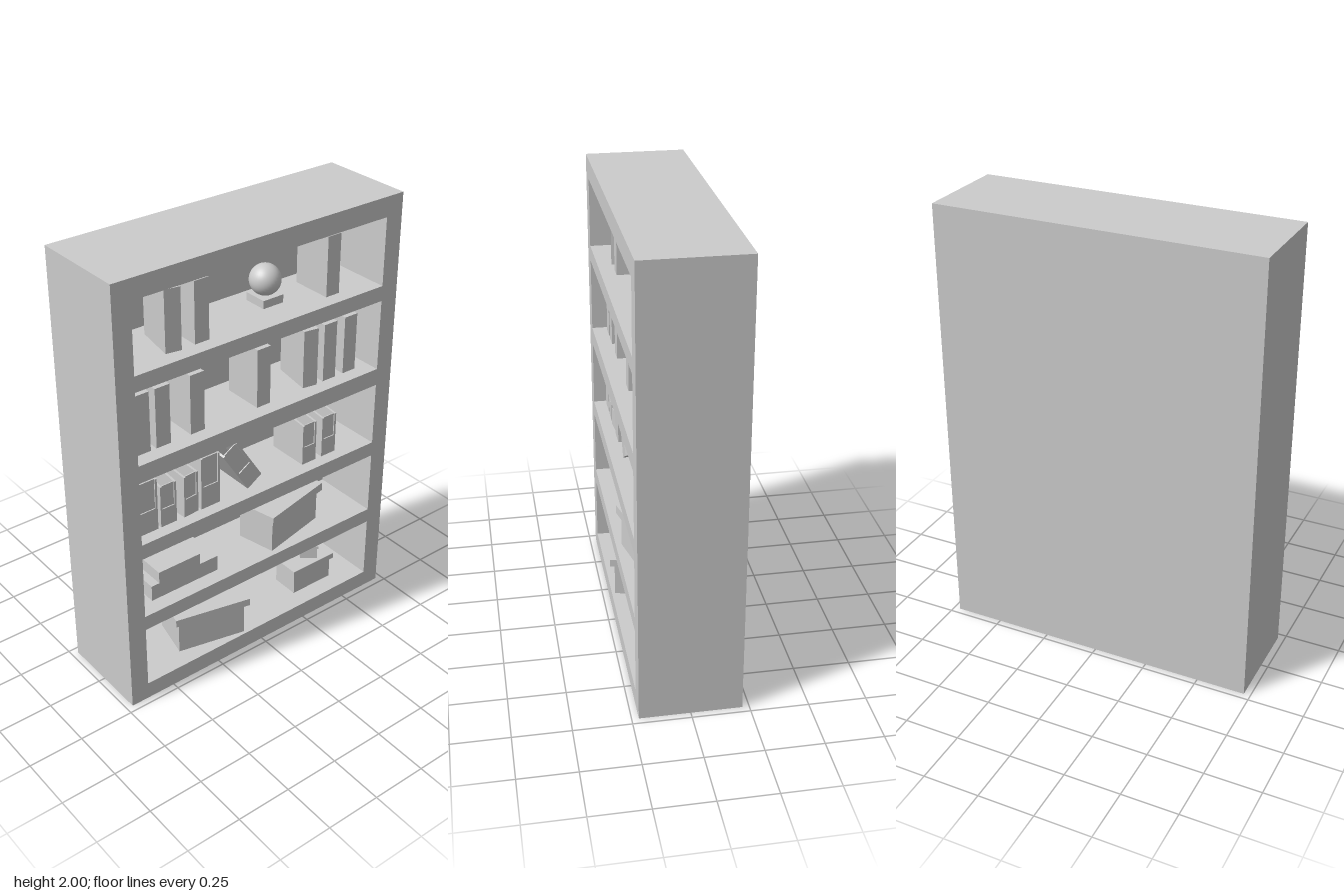
import * as THREE from 'three';

const mat = new THREE.MeshStandardMaterial({ color: 0xcccccc, flatShading: true });
const smooth = new THREE.MeshStandardMaterial({ color: 0xcccccc });

function add(parent, name, geo, x = 0, y = 0, z = 0, material = mat) {
  const m = new THREE.Mesh(geo, material);
  m.name = name;
  m.position.set(x, y, z);
  parent.add(m);
  return m;
}

// box standing on y
function block(parent, name, w, h, d, x, y, z, ry = 0) {
  const m = add(parent, name, new THREE.BoxGeometry(w, h, d), x, y + h / 2, z);
  m.rotation.y = ry;
  return m;
}

function extrude(points, depth) {
  const s = new THREE.Shape(points.map(([a, b]) => new THREE.Vector2(a, b)));
  return new THREE.ExtrudeGeometry(s, { depth, bevelEnabled: false });
}

// box with an overhanging lid
function liddedBox(parent, name, w, h, d, lidH, over, x, y, z, ry) {
  const g = new THREE.Group();
  g.name = name;
  g.position.set(x, y, z);
  g.rotation.y = ry;
  block(g, 'boxBody', w, h, d, 0, 0, 0);
  block(g, 'boxLid', w + over, lidH, d + over, 0, h, 0);
  parent.add(g);
}

// open-topped file holder with sloping sides and a recessed label; origin at the bottom centre
function fileHolder(parent, w, h, x, y, z, ry = 0, rz = 0) {
  const g = new THREE.Group();
  g.name = 'fileHolder';
  g.position.set(x, y, z);
  g.rotation.set(0, ry, rz);
  const d = 0.2, t = 0.01, low = h - 0.024, sill = h * 0.39, f = d / 2;
  for (const s of [-1, 1]) {
    const side = add(g, 'fileSide', extrude([[-f, 0], [f, 0], [f, h], [-f, low]], t), s * (w - t) / 2 + t / 2);
    side.rotation.y = Math.PI / 2;
    side.position.x -= t;
  }
  const inner = w - 2 * t;
  block(g, 'fileBack', inner, h, t, 0, 0, -f + t / 2);
  block(g, 'fileBottom', inner, t, d - 2 * t, 0, 0, 0);
  block(g, 'fileFront', inner, sill, t, 0, 0, f - t / 2);
  block(g, 'fileLabel', inner, low - sill, t / 2, 0, sill, f - t * 0.75);
  parent.add(g);
}

export function createModel() {
  const root = new THREE.Group();
  root.name = 'bookcase';

  // cabinet: frame with five openings in front of a thick back
  const frame = new THREE.Shape([[-0.72, 0], [0.72, 0], [0.72, 2], [-0.72, 2]].map(([x, y]) => new THREE.Vector2(x, y)));
  for (const [lo, hi] of [[0.08, 0.38], [0.45, 0.75], [0.82, 1.12], [1.2, 1.53], [1.6, 1.91]]) {
    frame.holes.push(new THREE.Path([[-0.635, lo], [-0.635, hi], [0.635, hi], [0.635, lo]].map(([x, y]) => new THREE.Vector2(x, y))));
  }
  add(root, 'cabinetFrame', new THREE.ExtrudeGeometry(frame, { depth: 0.32, bevelEnabled: false }), 0, 0, -0.1);
  block(root, 'cabinetBack', 1.44, 2, 0.12, 0, 0, -0.16);

  // books: [x, shelf height, turn]
  const books = [
    [-0.39, 1.6, -0.17], [-0.27, 1.6, 0], [0.41, 1.6, 0],
    [-0.565, 1.2, 0], [-0.467, 1.2, 0], [-0.298, 1.2, 0], [0.045, 1.2, 0],
    [0.318, 1.2, -0.17], [0.41, 1.2, 0], [0.525, 1.2, 0],
  ];
  for (const [x, y, turn] of books) block(root, 'book', 0.07, 0.27, 0.19, x, y, 0.06, turn);

  // ball on a stand
  block(root, 'ballStand', 0.105, 0.036, 0.11, 0.152, 1.6, 0.025);
  add(root, 'ball', new THREE.SphereGeometry(0.068, 32, 20), 0.152, 1.7, 0.025, smooth);

  // file holders: [width, height, x, turn]
  for (const [w, h, x, turn] of [
    [0.095, 0.27, -0.562, 0], [0.08, 0.22, -0.46, 0], [0.077, 0.22, -0.353, 0.085],
    [0.097, 0.27, -0.244, 0], [0.077, 0.22, 0.302, 0], [0.08, 0.22, 0.415, 0],
  ]) fileHolder(root, w, h, x, 0.82, 0.065, turn);
  fileHolder(root, 0.088, 0.27, -0.007, 0.845, 0.065, 0, 0.565);

  // stepped stack
  const steps = [[-0.55, 0], [-0.2, 0], [-0.2, 0.075], [-0.295, 0.075], [-0.295, 0.13], [-0.51, 0.13], [-0.51, 0.075], [-0.55, 0.075]];
  add(root, 'steppedStack', extrude(steps, 0.19), 0, 0.45, -0.04);

  // storage boxes
  liddedBox(root, 'upperBox', 0.33, 0.155, 0.185, 0.04, 0.035, 0.215, 0.45, 0.067, 0.22);
  liddedBox(root, 'lowerBox', 0.32, 0.16, 0.2, 0.036, 0.04, -0.228, 0.08, 0.073, -0.22);
  liddedBox(root, 'smallBox', 0.22, 0.108, 0.13, 0.027, 0.025, 0.374, 0.08, 0.07, 0);
  liddedBox(root, 'tinyBox', 0.08, 0.057, 0.083, 0.013, 0.012, 0.403, 0.215, 0.07, -0.65);

  return root;
}
